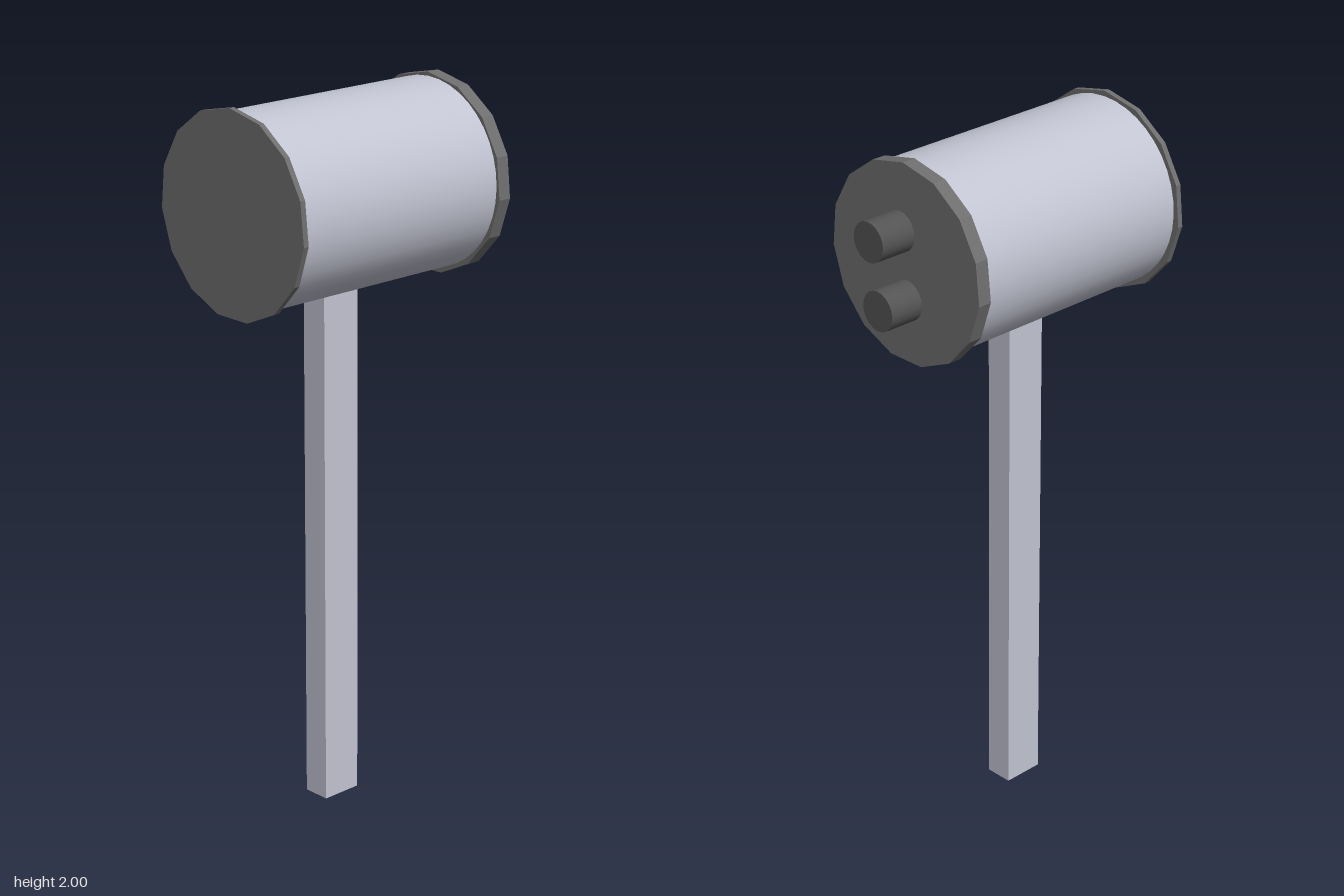
import * as THREE from 'three';

const mat = (name, color) => {
  const m = new THREE.MeshStandardMaterial({ color });
  m.name = name;
  return m;
};

export function createModel() {
  const group = new THREE.Group();
  const steel = mat('pale steel', 0xc2c4d2);
  const grey = mat('dark grey', 0x6e6e6e);
  const charcoal = mat('charcoal', 0x545454);

  // Cylinder lying along z, with a corner at the top
  const drum = (name, material, r, sides, x, y, z0, z1, faceted = false) => {
    let geo = new THREE.CylinderGeometry(r, r, z1 - z0, sides);
    if (faceted) {
      geo = geo.toNonIndexed();
      geo.computeVertexNormals();
    }
    geo.rotateX(-Math.PI / 2);
    const mesh = new THREE.Mesh(geo, material);
    mesh.name = name;
    mesh.position.set(x, y, (z0 + z1) / 2);
    group.add(mesh);
  };

  // Head: smooth barrel between two faceted end plates
  drum('barrel', steel, 0.261, 40, 0, 1.724, -0.28, 0.41);
  drum('frontPlate', grey, 0.278, 15, -0.002, 1.722, 0.403, 0.419, true);
  drum('backPlate', grey, 0.275, 15, -0.001, 1.721, -0.316, -0.276, true);

  // Two pegs on the back plate
  drum('upperPeg', charcoal, 0.055, 20, 0.014, 1.808, -0.422, -0.31);
  drum('lowerPeg', charcoal, 0.055, 20, -0.01, 1.625, -0.417, -0.31);

  // Square post, its top hidden inside the barrel
  const post = new THREE.Mesh(new THREE.BoxGeometry(0.08, 1.49, 0.12), steel);
  post.name = 'post';
  post.position.set(0.001, 0.745, 0.079);
  group.add(post);

  return group;
}
